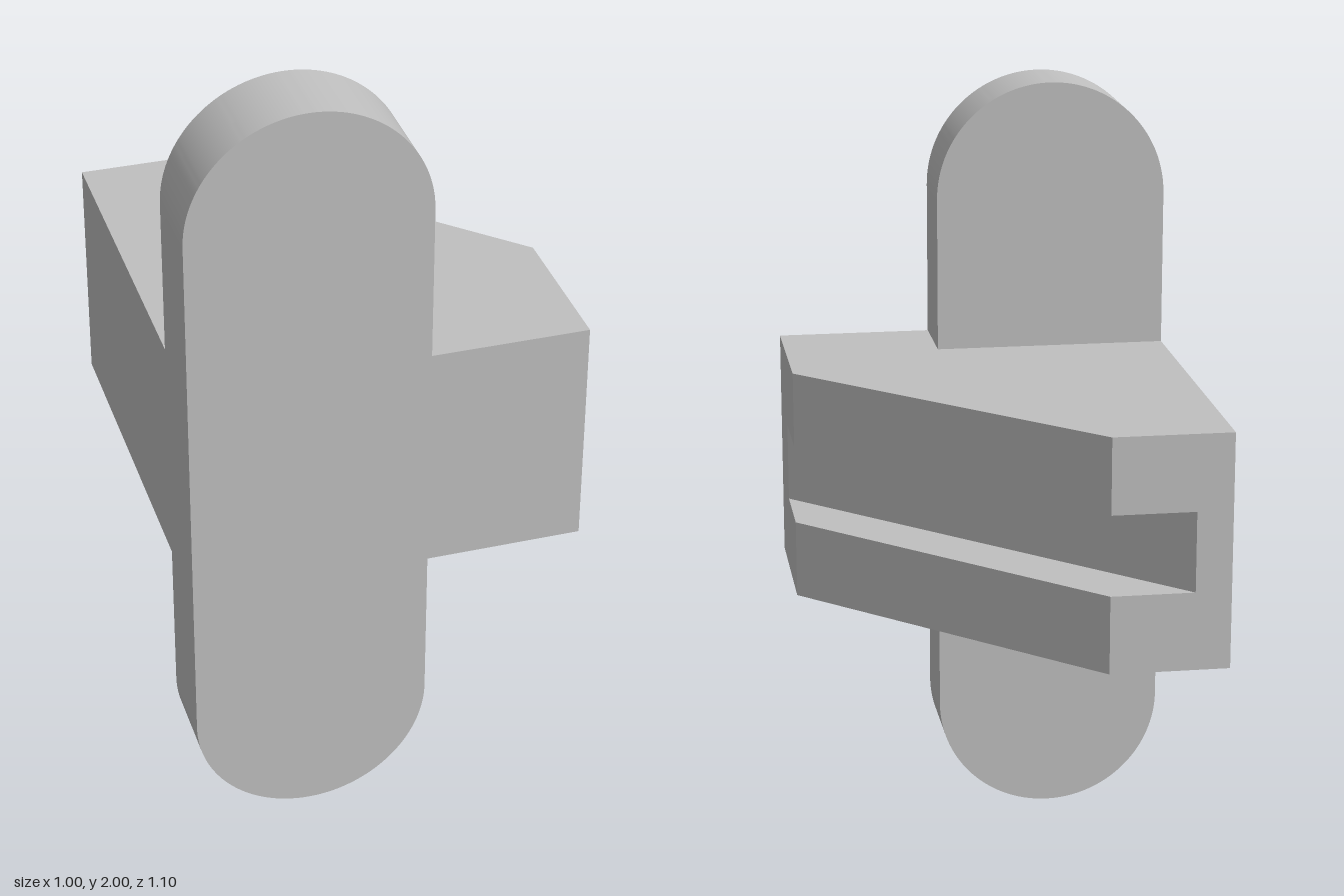
import * as THREE from 'three';
import { toCreasedNormals } from 'three/addons/utils/BufferGeometryUtils.js';

const LEFT = -0.5, RIGHT = 0.5, FRONT = 0.55, BACK = -0.55;

export function createModel() {
  const group = new THREE.Group();
  const grey = new THREE.MeshStandardMaterial({ color: 0xc0c0c0 });
  grey.name = 'plain grey';

  const add = (name, geometry) => {
    const mesh = new THREE.Mesh(geometry, grey);
    mesh.name = name;
    group.add(mesh);
    return mesh;
  };

  // Horizontal slab with one corner cut at 45 degrees along x - z = cut
  const slab = (name, y0, y1, cut) => {
    const outline = new THREE.Shape([
      [LEFT, BACK], [cut + BACK, BACK], [RIGHT, RIGHT - cut], [RIGHT, FRONT], [LEFT, FRONT],
    ].map(([x, z]) => new THREE.Vector2(x, z)));
    const geometry = new THREE.ExtrudeGeometry(outline, { depth: y1 - y0, bevelEnabled: false });
    geometry.rotateX(Math.PI / 2);
    geometry.translate(0, y1, 0);
    add(name, geometry);
  };

  // Block: the recessed middle slab forms the slot
  slab('blockLower', 0.7, 0.9, 0.35);
  slab('slotCore', 0.9, 1.105, 0.14);
  slab('blockUpper', 1.105, 1.3, 0.35);

  // Round-ended plate, flush with the block's front, above and below it
  const tab = new THREE.Shape();
  tab.moveTo(-0.3, 0.3);
  tab.lineTo(0.3, 0.3);
  tab.lineTo(0.3, 0.7);
  tab.absarc(0, 0.7, 0.3, 0, Math.PI, false);
  tab.closePath();
  const tabGeometry = toCreasedNormals(new THREE.ExtrudeGeometry(tab, {
    depth: 0.21, bevelEnabled: false, curveSegments: 48,
  }), 0.5);
  for (const [name, turn] of [['plateTop', 0], ['plateBottom', Math.PI]]) {
    const geometry = tabGeometry.clone();
    geometry.translate(0, 0, -0.105);
    geometry.rotateZ(turn);
    add(name, geometry).position.set(-0.2, 1, FRONT - 0.105);
  }

  return group;
}
